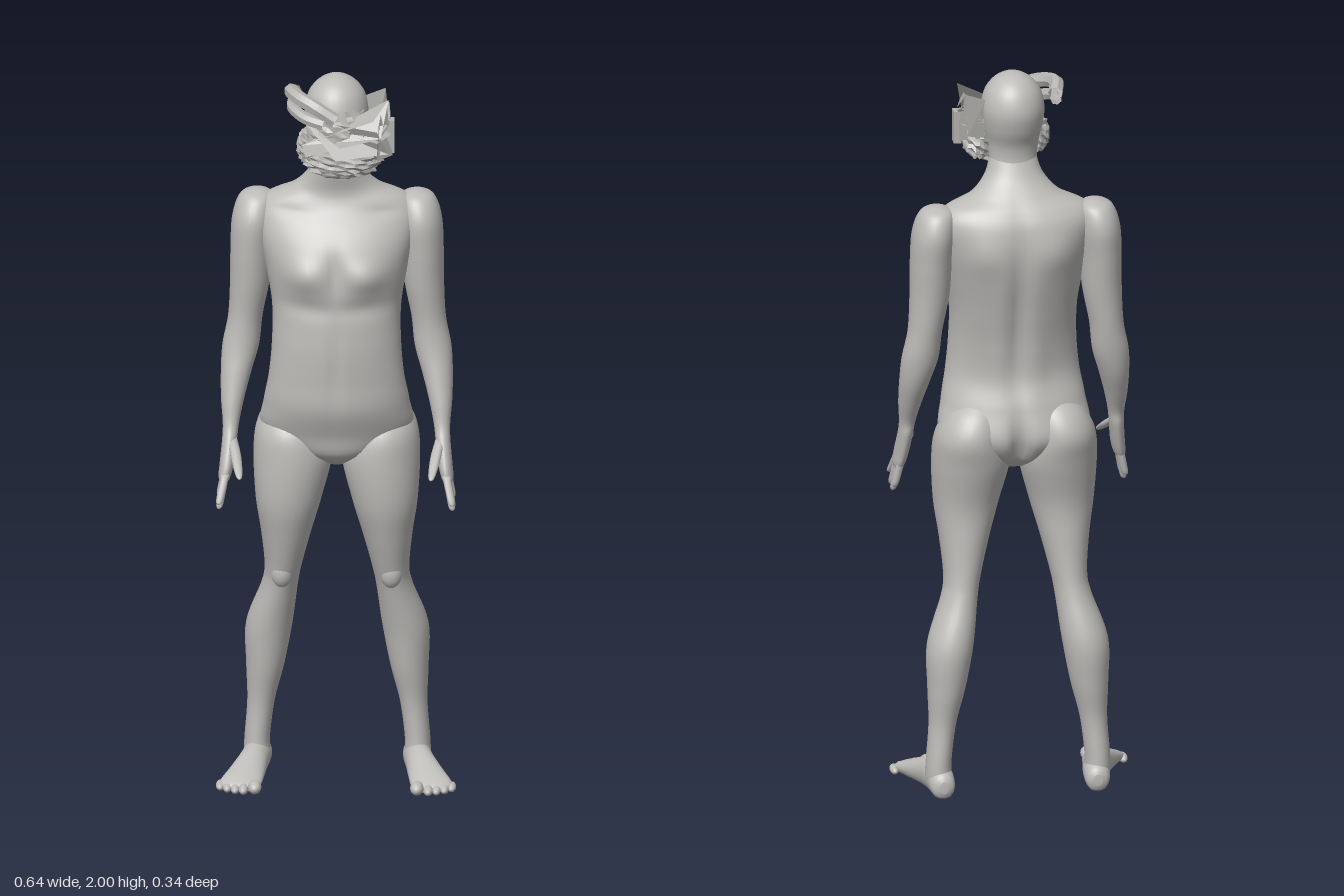
import * as THREE from 'three';

const skin = new THREE.MeshStandardMaterial({ color: 0xbdbcb9 });
skin.name = 'plain grey';
const maskGrey = new THREE.MeshStandardMaterial({ color: 0xb4b3b0, flatShading: true, side: THREE.DoubleSide });
maskGrey.name = 'mask grey';

// Smooth interpolation through a table of cross-sections
function smoothRows(rows, steps) {
  const out = [], last = rows.length - 1;
  for (let i = 0; i < last; i++) {
    const a = rows[Math.max(i - 1, 0)], b = rows[i], c = rows[i + 1], d = rows[Math.min(i + 2, last)];
    for (let k = 0; k < steps; k++) {
      const t = k / steps;
      out.push(b.map((_, j) => 0.5 * (2 * b[j] + (c[j] - a[j]) * t
        + (2 * a[j] - 5 * b[j] + 4 * c[j] - d[j]) * t * t
        + (3 * b[j] - a[j] - 3 * c[j] + d[j]) * t * t * t)));
    }
  }
  out.push(rows[last]);
  return out;
}

// Loft of rings: row = [along, centreU, centreV, radiusU, radiusV]; side mirrors x
function loft(name, table, { axis = 'y', side = 1, n = 32, steps = 6, rule = null } = {}) {
  const rows = smoothRows(table, steps), pos = [], idx = [];
  const put = (t, u, v) => {
    const p = axis === 'y' ? new THREE.Vector3(u, t, v) : new THREE.Vector3(u, v, t);
    if (rule) rule(p);
    pos.push(p.x * side, p.y, p.z);
  };
  for (const [t, u, v, ru, rv] of rows)
    for (let j = 0; j < n; j++) {
      const a = j / n * Math.PI * 2;
      put(t, u + Math.max(ru, 0.001) * Math.cos(a), v + Math.max(rv, 0.001) * Math.sin(a));
    }
  const flip = (axis === 'y') === (rows.at(-1)[0] > rows[0][0]) ? side < 0 : side > 0;
  const tri = (a, b, c) => (flip ? idx.push(a, b, c) : idx.push(a, c, b));
  for (let i = 0; i < rows.length - 1; i++)
    for (let j = 0; j < n; j++) {
      const a = i * n + j, b = i * n + (j + 1) % n;
      tri(a, b, b + n);
      tri(a, b + n, a + n);
    }
  const first = rows[0], end = rows.at(-1), base = rows.length * n;
  put(first[0], first[1], first[2]);
  put(end[0], end[1], end[2]);
  for (let j = 0; j < n; j++) {
    const k = (j + 1) % n;
    tri(base, k, j);
    tri(base + 1, base - n + j, base - n + k);
  }
  const g = new THREE.BufferGeometry();
  g.setAttribute('position', new THREE.Float32BufferAttribute(pos, 3));
  g.setIndex(idx);
  g.computeVertexNormals();
  const m = new THREE.Mesh(g, skin);
  m.name = name;
  return m;
}

// Muscle relief: [x, y, front or back, width, height, depth], mirrored in x
const relief = [
  [0.085, 1.465, 1, 0.055, 0.045, 0.024], [0, 1.47, 1, 0.018, 0.06, -0.012],
  [0.07, 1.37, 1, 0.08, 0.025, -0.008], [0, 1.2, 1, 0.012, 0.12, -0.006],
  [0.14, 1.62, 1, 0.06, 0.015, -0.008], [0, 1.38, -1, 0.025, 0.2, -0.02],
  [0.1, 1.53, -1, 0.055, 0.06, 0.012], [0.05, 1.2, -1, 0.03, 0.1, 0.006],
  [0, 0.98, -1, 0.018, 0.07, -0.035],
];
function sculptTorso(p) {
  const dz = p.z + 0.02;
  let push = 0;
  for (const [x, y, s, w, h, d] of relief)
    if (dz * s > 0) push += s * d * Math.min(1, Math.abs(dz) / 0.06)
      * Math.exp(-(((Math.abs(p.x) - x) / w) ** 2) - ((p.y - y) / h) ** 2);
  p.z += push;
}

function ellipsoid(name, c, r, mat, rough = 0) {
  const g = new THREE.SphereGeometry(1, 26, 18), p = g.attributes.position;
  for (let i = 0; i < p.count; i++) {
    const x = p.getX(i), y = p.getY(i), z = p.getZ(i);
    const k = 1 + rough * (Math.sin(13 * x + 7 * y) * Math.cos(11 * z - 9 * y) + 0.6 * Math.sin(23 * y + 8 * x));
    p.setXYZ(i, c[0] + x * r[0] * k, c[1] + y * r[1] * k, c[2] + z * r[2] * k);
  }
  g.computeVertexNormals();
  const m = new THREE.Mesh(g, mat);
  m.name = name;
  return m;
}

// Flat torn sheet through a few corners
function sheet(name, ...corners) {
  const g = new THREE.BufferGeometry(), idx = [];
  for (let i = 1; i < corners.length - 1; i++) idx.push(0, i, i + 1);
  g.setAttribute('position', new THREE.Float32BufferAttribute(corners.flat(), 3));
  g.setIndex(idx);
  g.computeVertexNormals();
  const m = new THREE.Mesh(g, maskGrey);
  m.name = name;
  return m;
}

function roll(name, pts, r) {
  const curve = new THREE.CatmullRomCurve3(pts.map(p => new THREE.Vector3(...p)));
  const m = new THREE.Mesh(new THREE.TubeGeometry(curve, 18, r, 7), maskGrey);
  m.name = name;
  return m;
}

function buildArm(side) {
  const arm = new THREE.Group();
  arm.name = side > 0 ? 'leftArm' : 'rightArm';
  arm.add(loft('armAndPalm', [
    [1.652, 0.212, -0.07, 0.012, 0.015], [1.635, 0.214, -0.07, 0.045, 0.055], [1.58, 0.222, -0.066, 0.057, 0.08],
    [1.5, 0.228, -0.062, 0.056, 0.076], [1.4, 0.232, -0.06, 0.053, 0.065], [1.3, 0.244, -0.06, 0.046, 0.054],
    [1.22, 0.256, -0.052, 0.049, 0.05], [1.15, 0.268, -0.035, 0.041, 0.047], [1.08, 0.277, -0.01, 0.031, 0.038],
    [1.02, 0.281, 0.012, 0.022, 0.029], [0.98, 0.284, 0.026, 0.02, 0.036], [0.92, 0.291, 0.052, 0.019, 0.043],
    [0.885, 0.297, 0.063, 0.016, 0.04], [0.87, 0.299, 0.068, 0.008, 0.03]], { side }));
  // Fingers: base z, tip z, tip y
  for (const [z0, z1, y1] of [[0.094, 0.137, 0.83], [0.074, 0.107, 0.807], [0.053, 0.072, 0.802], [0.033, 0.042, 0.822]]) {
    const at = t => [0.9 + (y1 - 0.9) * t, 0.294 + 0.017 * t, z0 + (z1 - z0) * t];
    arm.add(loft('finger', [[...at(0), 0.011, 0.011], [...at(0.5), 0.0105, 0.0105],
      [...at(0.9), 0.009, 0.009], [...at(1), 0.003, 0.003]], { side, n: 10, steps: 3 }));
  }
  arm.add(loft('thumb', [[0.985, 0.277, 0.035, 0.012, 0.02], [0.955, 0.267, 0.085, 0.014, 0.022],
    [0.93, 0.26, 0.13, 0.012, 0.016], [0.915, 0.256, 0.156, 0.008, 0.011], [0.91, 0.255, 0.163, 0.002, 0.003]],
    { side, n: 12, steps: 4 }));
  return arm;
}

function buildLeg(side) {
  const leg = new THREE.Group();
  leg.name = side > 0 ? 'leftLeg' : 'rightLeg';
  leg.add(loft('thighAndCalf', [
    [1.1, 0.1, -0.06, 0.03, 0.03], [1.06, 0.112, -0.062, 0.068, 0.074], [1.0, 0.122, -0.047, 0.092, 0.113],
    [0.92, 0.117, -0.032, 0.105, 0.112], [0.8, 0.128, -0.019, 0.088, 0.094], [0.7, 0.135, -0.031, 0.067, 0.081],
    [0.6, 0.143, -0.05, 0.05, 0.069], [0.54, 0.153, -0.065, 0.049, 0.066], [0.42, 0.181, -0.094, 0.062, 0.073],
    [0.3, 0.192, -0.099, 0.051, 0.061], [0.2, 0.203, -0.1, 0.037, 0.045], [0.1, 0.213, -0.102, 0.034, 0.047],
    [0.05, 0.214, -0.1, 0.035, 0.05], [0.02, 0.214, -0.1, 0.03, 0.045]], { side }));
  const flatSole = p => { p.y = Math.max(p.y, 0.003); };
  leg.add(loft('foot', [
    [-0.165, 0.207, 0.035, 0.012, 0.016], [-0.15, 0.208, 0.035, 0.031, 0.036], [-0.1, 0.212, 0.043, 0.037, 0.046],
    [-0.04, 0.223, 0.04, 0.04, 0.044], [0.02, 0.241, 0.028, 0.05, 0.032], [0.065, 0.254, 0.019, 0.056, 0.021],
    [0.09, 0.252, 0.014, 0.045, 0.013], [0.1, 0.25, 0.012, 0.025, 0.007]], { axis: 'z', side, rule: flatSole }));
  // Toes, big to little
  [[0.216, 0.098, 0.018], [0.246, 0.1, 0.013], [0.268, 0.094, 0.012], [0.289, 0.083, 0.012], [0.308, 0.067, 0.012]]
    .forEach(([x, z, r]) => leg.add(ellipsoid('toe', [x * side, r, z], [r, r, 0.028], skin)));
  leg.add(ellipsoid('kneecap', [0.146 * side, 0.59, -0.01], [0.03, 0.045, 0.03], skin));
  return leg;
}

function buildMask() {
  const mask = new THREE.Group();
  mask.name = 'tornMask';
  mask.add(
    ellipsoid('faceCover', [0.005, 1.855, 0.042], [0.085, 0.085, 0.062], maskGrey, 0.06),
    ellipsoid('chinCover', [0.015, 1.778, 0.052], [0.1, 0.048, 0.068], maskGrey, 0.09),
    ellipsoid('cheekLump', [0.085, 1.8, 0.03], [0.045, 0.05, 0.055], maskGrey, 0.1),
    ellipsoid('cheekLump', [-0.07, 1.81, 0.035], [0.035, 0.05, 0.055], maskGrey, 0.1),
    roll('browRoll', [[-0.112, 1.94, -0.03], [-0.12, 1.955, 0.01], [-0.1, 1.95, 0.05], [-0.06, 1.935, 0.08], [0.0, 1.9, 0.095]], 0.02),
    roll('browFold', [[-0.115, 1.92, -0.02], [-0.115, 1.915, 0.03], [-0.08, 1.9, 0.075], [-0.03, 1.89, 0.1]], 0.016),
    sheet('frontPanel', [-0.09, 1.9, 0.075], [0.11, 1.88, 0.125], [0.14, 1.81, 0.1], [0.0, 1.8, 0.13]),
    sheet('crossStrap', [-0.09, 1.83, 0.09], [0.1, 1.91, 0.125], [0.14, 1.95, 0.06], [0.12, 1.86, 0.12], [-0.08, 1.8, 0.1]),
    sheet('sidePanel', [0.13, 1.95, -0.035], [0.14, 1.88, 0.06], [0.115, 1.9, 0.13], [0.11, 1.8, 0.13], [0.15, 1.79, 0.05], [0.125, 1.82, -0.03]),
    sheet('rearFlap', [0.075, 1.93, -0.03], [0.13, 1.95, -0.035], [0.125, 1.83, -0.03], [0.078, 1.82, -0.02]),
    sheet('lowerShelf', [0.07, 1.87, -0.03], [0.135, 1.86, -0.03], [0.145, 1.85, 0.06], [0.11, 1.85, 0.13], [0.04, 1.86, 0.1]));
  // Ribs along the side panel
  for (let i = 0; i < 5; i++)
    mask.add(roll('sideRib', [[0.08 + i * 0.014, 1.87 + i * 0.01, -0.03], [0.09 + i * 0.012, 1.88, 0.04], [0.07 + i * 0.011, 1.86, 0.11]], 0.005));
  const hinge = new THREE.Mesh(new THREE.BoxGeometry(0.02, 0.09, 0.03), maskGrey);
  hinge.position.set(0.145, 1.84, 0.03);
  hinge.name = 'sideHinge';
  mask.add(hinge);
  return mask;
}

export function createModel() {
  const model = new THREE.Group();
  model.name = 'figure';
  model.add(loft('torso', [
    [0.9, 0, -0.03, 0.03, 0.04], [0.94, 0, -0.03, 0.125, 0.095], [1.0, 0, -0.035, 0.2, 0.12],
    [1.08, 0, -0.01, 0.194, 0.125], [1.16, 0, 0.006, 0.18, 0.114], [1.25, 0, 0.003, 0.172, 0.12],
    [1.35, 0, -0.012, 0.172, 0.13], [1.45, 0, -0.024, 0.188, 0.142], [1.53, 0, -0.036, 0.205, 0.138],
    [1.6, 0, -0.055, 0.215, 0.112], [1.642, 0, -0.058, 0.19, 0.09], [1.675, 0, -0.048, 0.12, 0.073],
    [1.72, 0, -0.026, 0.078, 0.06], [1.77, 0, -0.008, 0.062, 0.052]], { n: 64, steps: 8, rule: sculptTorso }));
  model.add(loft('headAndNeck', [
    [1.7, 0, -0.03, 0.07, 0.055], [1.75, 0, -0.01, 0.064, 0.056], [1.8, 0, 0.002, 0.07, 0.07],
    [1.85, 0, -0.002, 0.08, 0.087], [1.9, 0, -0.005, 0.085, 0.095], [1.945, 0, -0.006, 0.076, 0.084],
    [1.975, 0, -0.006, 0.055, 0.062], [1.993, 0, -0.006, 0.028, 0.032], [2.0, 0, -0.006, 0.001, 0.001]]));
  for (const side of [1, -1]) model.add(buildArm(side), buildLeg(side));
  model.add(buildMask());
  return model;
}
